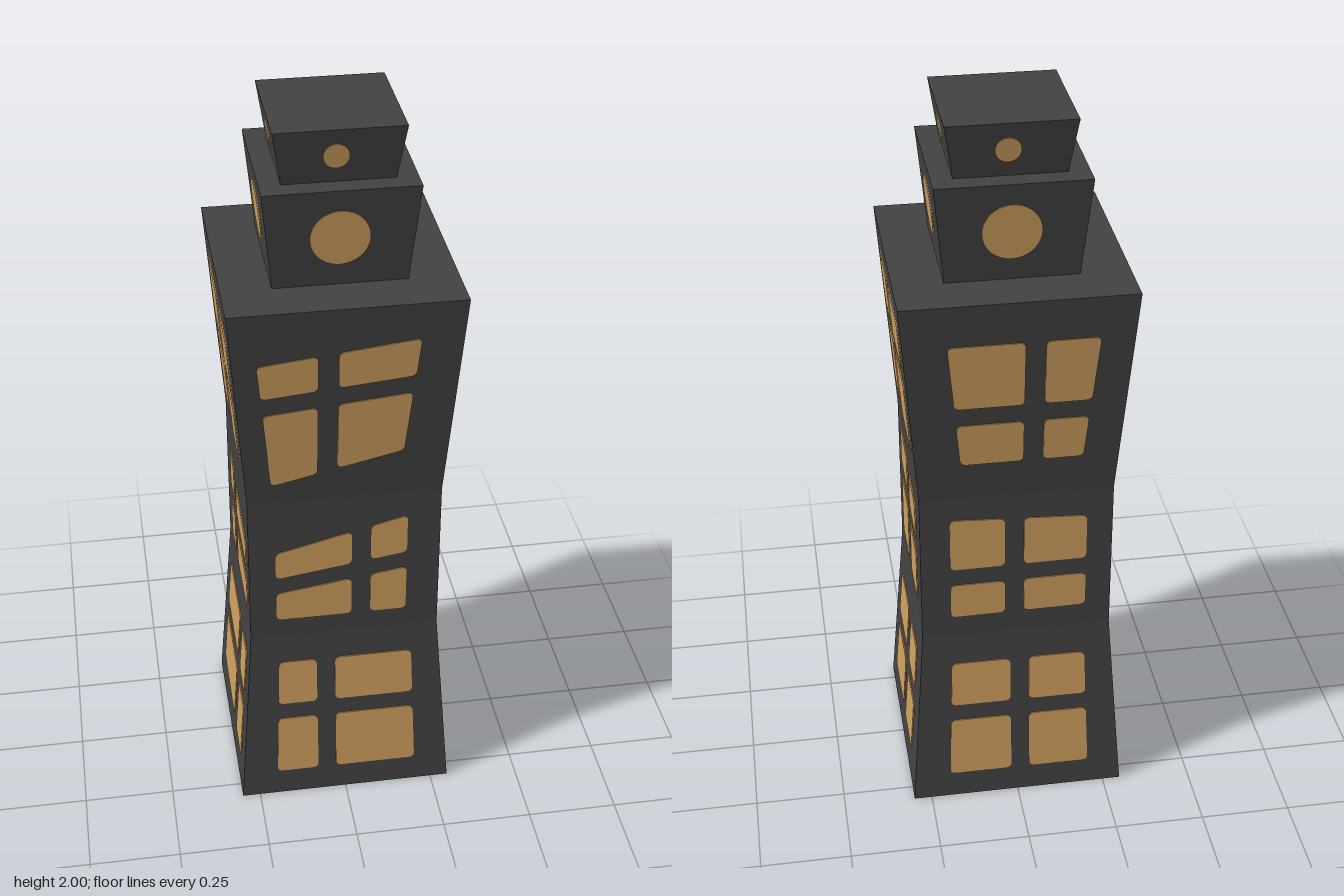
import * as THREE from 'three';

const lerp = THREE.MathUtils.lerp;

// Square tiers: [half width, height] from bottom to top
const BODY = [[0.3, 0], [0.26, 0.55], [0.26, 1.0], [0.303, 1.59]];
const LANTERN = [[0.173, 1.59], [0.198, 1.856]];
const CAP = [[0.143, 1.856], [0.165, 2]];

// Half thickness of the bars between panes
const BAR = 0.026;

// Walls in order, each a quarter turn on from the last
const WALLS = ['front', 'eastSide', 'back', 'westSide'];

// One window per wall on each storey: left x, right x, upright bar x,
// then [top, crossbar, bottom] heights at the left and, if skewed, at the right
const TOP_WINDOWS = [
  [-0.23, 0.187, -0.048, [1.438, 1.31, 1.05], [1.487, 1.351, 1.15]],
  [-0.2, 0.226, -0.024, [1.512, 1.336, 1.135], [1.507, 1.35, 1.11]],
  [-0.183, 0.207, 0.041, [1.473, 1.26, 1.11]],
  [-0.186, 0.21, 0.018, [1.513, 1.319, 1.125], [1.457, 1.272, 1.07]],
];
const MIDDLE_WINDOWS = [
  [-0.188, 0.17, 0.045, [0.833, 0.724, 0.61], [0.923, 0.777, 0.61]],
  [-0.17, 0.173, 0.006, [0.976, 0.835, 0.62], [0.928, 0.796, 0.62]],
  [-0.18, 0.19, -0.006, [0.933, 0.746, 0.615], [0.914, 0.75, 0.62]],
  [-0.15, 0.215, -0.035, [0.91, 0.768, 0.615], [0.84, 0.735, 0.615]],
];
const BOTTOM_WINDOWS = [
  [-0.184, 0.188, -0.053, [0.461, 0.292, 0.08]],
  [-0.194, 0.178, 0.013, [0.446, 0.282, 0.095]],
  [-0.181, 0.191, 0.008, [0.456, 0.29, 0.08]],
  [-0.19, 0.208, 0.08, [0.48, 0.307, 0.11], [0.46, 0.29, 0.085]],
];

// Taper: how far each side of a window moves inward from top to bottom
const STOREYS = [
  { windows: TOP_WINDOWS, taper: 0.034 },
  { windows: MIDDLE_WINDOWS, taper: 0 },
  { windows: BOTTOM_WINDOWS, taper: -0.013 },
];

// Half width of a tier at height y
function halfWidth(profile, y) {
  let i = 0;
  while (i < profile.length - 2 && y > profile[i + 1][1]) i++;
  const [w0, y0] = profile[i], [w1, y1] = profile[i + 1];
  return lerp(w0, w1, (y - y0) / (y1 - y0));
}

// Four-sided closed tier
function tierGeometry(profile) {
  const pts = profile.map(([w, y]) => new THREE.Vector2(w * Math.SQRT2, y));
  pts.unshift(new THREE.Vector2(0, pts[0].y));
  pts.push(new THREE.Vector2(0, pts[pts.length - 1].y));
  return new THREE.LatheGeometry(pts, 4, Math.PI / 4);
}

// Thin plate laid against the sloping wall of a tier
function plateGeometry(shape, profile) {
  const geo = new THREE.ExtrudeGeometry(shape, { depth: 0.005, bevelEnabled: false, curveSegments: 20 });
  const pos = geo.attributes.position;
  for (let i = 0; i < pos.count; i++) {
    pos.setZ(i, pos.getZ(i) - 0.002 + halfWidth(profile, pos.getY(i)));
  }
  geo.computeVertexNormals();
  return geo;
}

// Quadrilateral with softened corners, given counter-clockwise
function roundedQuad(corners, r) {
  const shape = new THREE.Shape();
  corners.forEach((c, i) => {
    const toward = (o) => c.clone().add(o.clone().sub(c).setLength(r));
    const a = toward(corners[(i + 3) % 4]), b = toward(corners[(i + 1) % 4]);
    if (i === 0) shape.moveTo(a.x, a.y); else shape.lineTo(a.x, a.y);
    shape.quadraticCurveTo(c.x, c.y, b.x, b.y);
  });
  shape.closePath();
  return shape;
}

// The four panes of one crooked window
function windowPanes([left, right, bar, leftHeights, rightHeights = leftHeights], taper) {
  const rows = ([top, cross, bottom]) => [top, cross + BAR, cross - BAR, bottom];
  const yl = rows(leftHeights), yr = rows(rightHeights);
  const inset = (ys, row) => taper * (ys[0] - ys[row]) / (ys[0] - ys[3]);
  const corner = (col, row) => {
    const x = [left + inset(yl, row), bar - BAR, bar + BAR, right - inset(yr, row)][col];
    return new THREE.Vector2(x, lerp(yl[row], yr[row], (x - left) / (right - left)));
  };
  const panes = [];
  for (const col of [0, 2]) {
    for (const row of [0, 2]) {
      panes.push(roundedQuad(
        [corner(col, row + 1), corner(col + 1, row + 1), corner(col + 1, row), corner(col, row)], 0.016));
    }
  }
  return panes;
}

function disc(x, y, r) {
  const shape = new THREE.Shape();
  shape.absarc(x, y, r, 0, Math.PI * 2);
  return shape;
}

export function createModel() {
  const stone = new THREE.MeshStandardMaterial({ color: 0x424242, flatShading: true });
  stone.name = 'darkStone';
  const glow = new THREE.MeshStandardMaterial({ color: 0xcfa05f });
  glow.name = 'warmWindow';

  const tower = new THREE.Group();
  tower.name = 'tower';
  const add = (parent, name, geo, mat) => {
    const mesh = new THREE.Mesh(geo, mat);
    mesh.name = name;
    parent.add(mesh);
  };

  // Stacked tiers
  add(tower, 'towerBody', tierGeometry(BODY), stone);
  add(tower, 'upperTier', tierGeometry(LANTERN), stone);
  add(tower, 'topTier', tierGeometry(CAP), stone);

  // Windows on each wall
  WALLS.forEach((name, i) => {
    const wall = new THREE.Group();
    wall.name = name + 'Windows';
    wall.rotation.y = i * Math.PI / 2;
    for (const { windows, taper } of STOREYS) {
      for (const pane of windowPanes(windows[i], taper)) {
        add(wall, 'windowPane', plateGeometry(pane, BODY), glow);
      }
    }
    add(wall, 'largeRoundWindow', plateGeometry(disc(-0.003, 1.725, 0.076), LANTERN), glow);
    add(wall, 'smallRoundWindow', plateGeometry(disc(-0.008, 1.928, 0.033), CAP), glow);
    tower.add(wall);
  });
  return tower;
}
